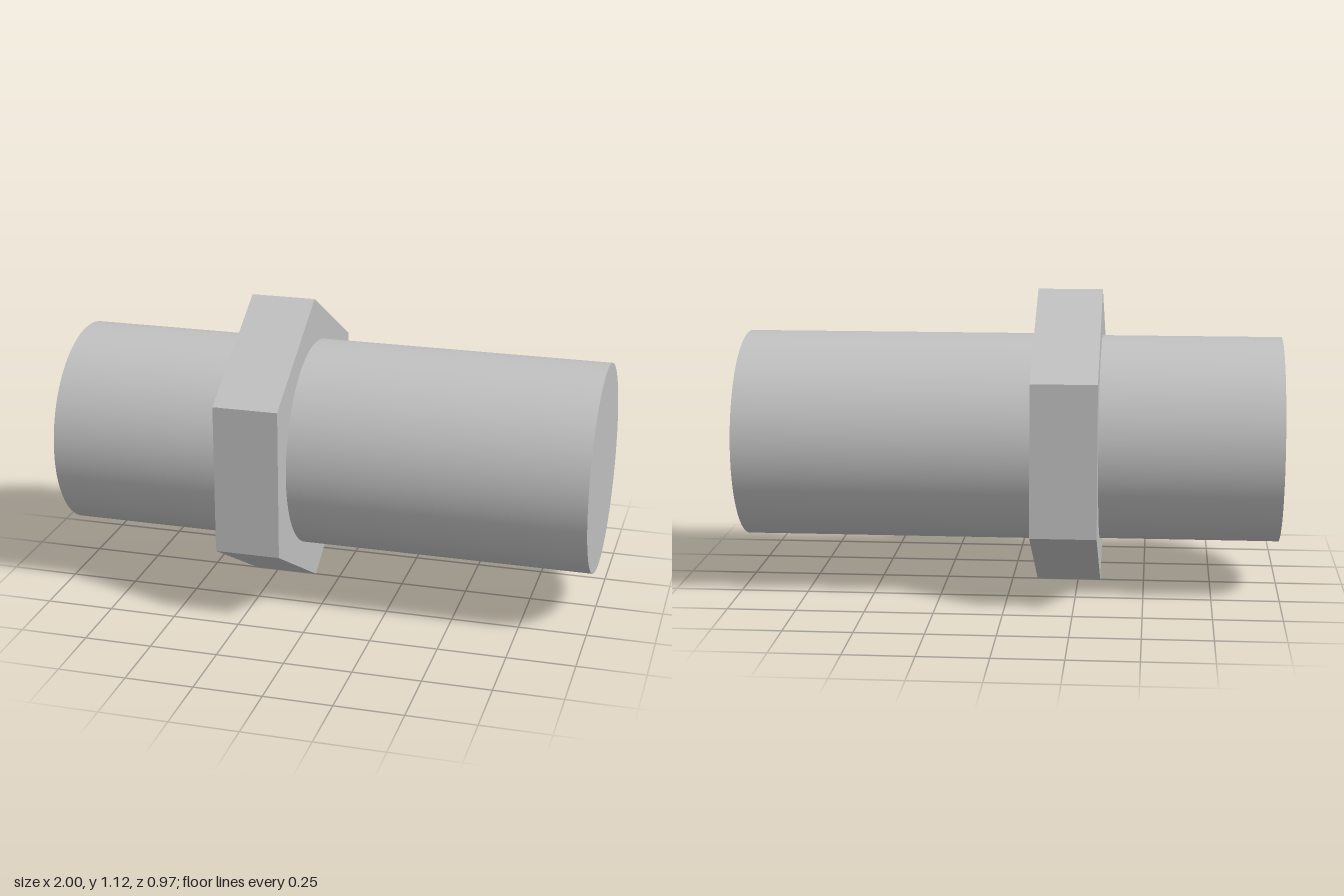
import * as THREE from 'three';

const AXIS_Y = 0.558; // height of the common axis

export function createModel() {
  const group = new THREE.Group();
  const steel = new THREE.MeshStandardMaterial({ color: 0xc0c0c0 });
  steel.name = 'steel grey';

  // Solid prism or cylinder lying along x from x0 to x1
  function addBar(name, radius, x0, x1, sides, flat = false) {
    let geometry = new THREE.CylinderGeometry(radius, radius, x1 - x0, sides, 1, false, Math.PI / 6);
    if (flat) {
      geometry = geometry.toNonIndexed();
      geometry.computeVertexNormals();
    }
    geometry.rotateZ(-Math.PI / 2);
    const mesh = new THREE.Mesh(geometry, steel);
    mesh.name = name;
    mesh.position.set((x0 + x1) / 2, AXIS_Y, 0);
    group.add(mesh);
  }

  // Short and long ends, the long one slightly wider
  addBar('shortEnd', 0.382, -1, -0.335, 96);
  addBar('longEnd', 0.387, -0.095, 1, 96);

  // Hexagonal collar with corners at top and bottom
  addBar('hexCollar', AXIS_Y, -0.335, -0.095, 6, true);

  return group;
}
